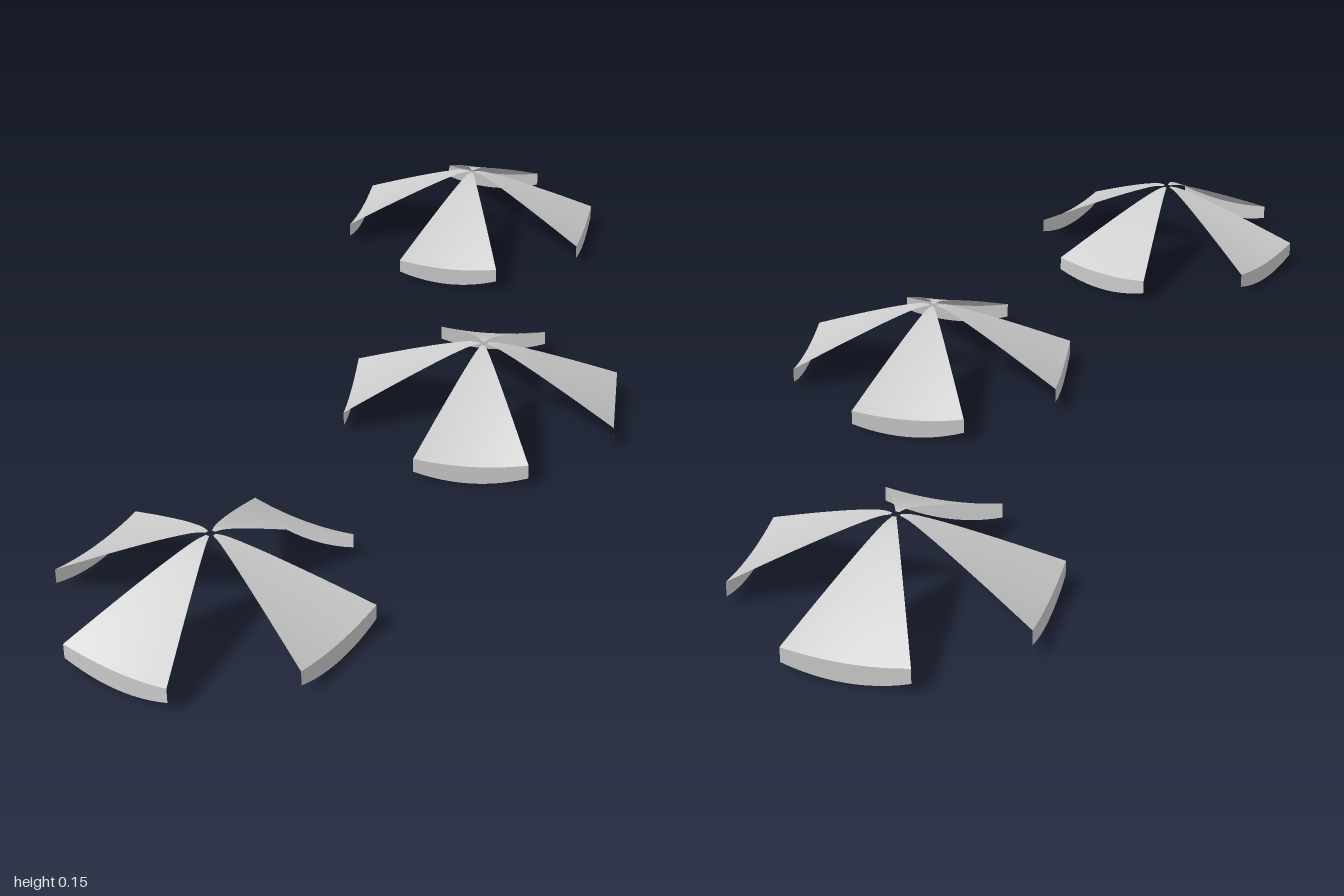
import * as THREE from 'three';

const RADIUS = 0.27, HALF = Math.PI / 8;
const HALF_CHORD = RADIUS * Math.sin(HALF), REACH = RADIUS * Math.cos(HALF);
const material = new THREE.MeshStandardMaterial({ color: 0xcccccc, side: THREE.DoubleSide });

// Seam profile from apex to rim: x = fraction of the radius, y = height
const seam = new THREE.SplineCurve([
  [0.03, 0.15], [0.12, 0.146], [0.33, 0.125], [0.65, 0.088], [1, 0.045],
].map(([t, y]) => new THREE.Vector2(t, y)));

// Bend a unit grid with a rule (s runs -1..1 across, v runs 0 bottom..1 top)
function sheet(name, cols, rows, rule) {
  const geometry = new THREE.PlaneGeometry(1, 1, cols, rows);
  const { position, uv } = geometry.attributes;
  for (let i = 0; i < position.count; i++) {
    position.setXYZ(i, ...rule(uv.getX(i) * 2 - 1, uv.getY(i)));
  }
  geometry.computeVertexNormals();
  const mesh = new THREE.Mesh(geometry, material);
  mesh.name = name;
  return mesh;
}

// One canopy wedge with its hanging, scalloped rim
function createWedge() {
  const wedge = new THREE.Group();
  wedge.name = 'canopyWedge';
  wedge.add(sheet('panel', 12, 20, (s, v) => {
    const p = seam.getPoint(1 - v);
    const sag = 0.01 * p.x * p.x * (1 - s * s);
    return [s * HALF_CHORD * p.x, p.y - sag, REACH * p.x];
  }));
  wedge.add(sheet('valance', 12, 1, (s, v) => {
    const dip = 1 - s * s;
    const top = 0.045 - 0.01 * dip, bottom = 0.018 * (1 - dip);
    return [s * HALF_CHORD, bottom + (top - bottom) * v, REACH];
  }));
  return wedge;
}

// Four alternate wedges of an eight-sided parasol
function createCanopy(x, z, degrees) {
  const canopy = new THREE.Group();
  canopy.name = 'parasolCanopy';
  for (let i = 0; i < 4; i++) {
    const wedge = createWedge();
    wedge.rotation.y = i * Math.PI / 2;
    canopy.add(wedge);
  }
  canopy.position.set(x, 0, z);
  canopy.rotation.y = THREE.MathUtils.degToRad(degrees);
  return canopy;
}

export function createModel() {
  const model = new THREE.Group();
  model.name = 'parasolCanopies';
  model.add(
    createCanopy(-0.12, -0.742, 5),
    createCanopy(0.12, -0.006, 11.4),
    createCanopy(-0.12, 0.731, -15.3),
  );
  return model;
}
